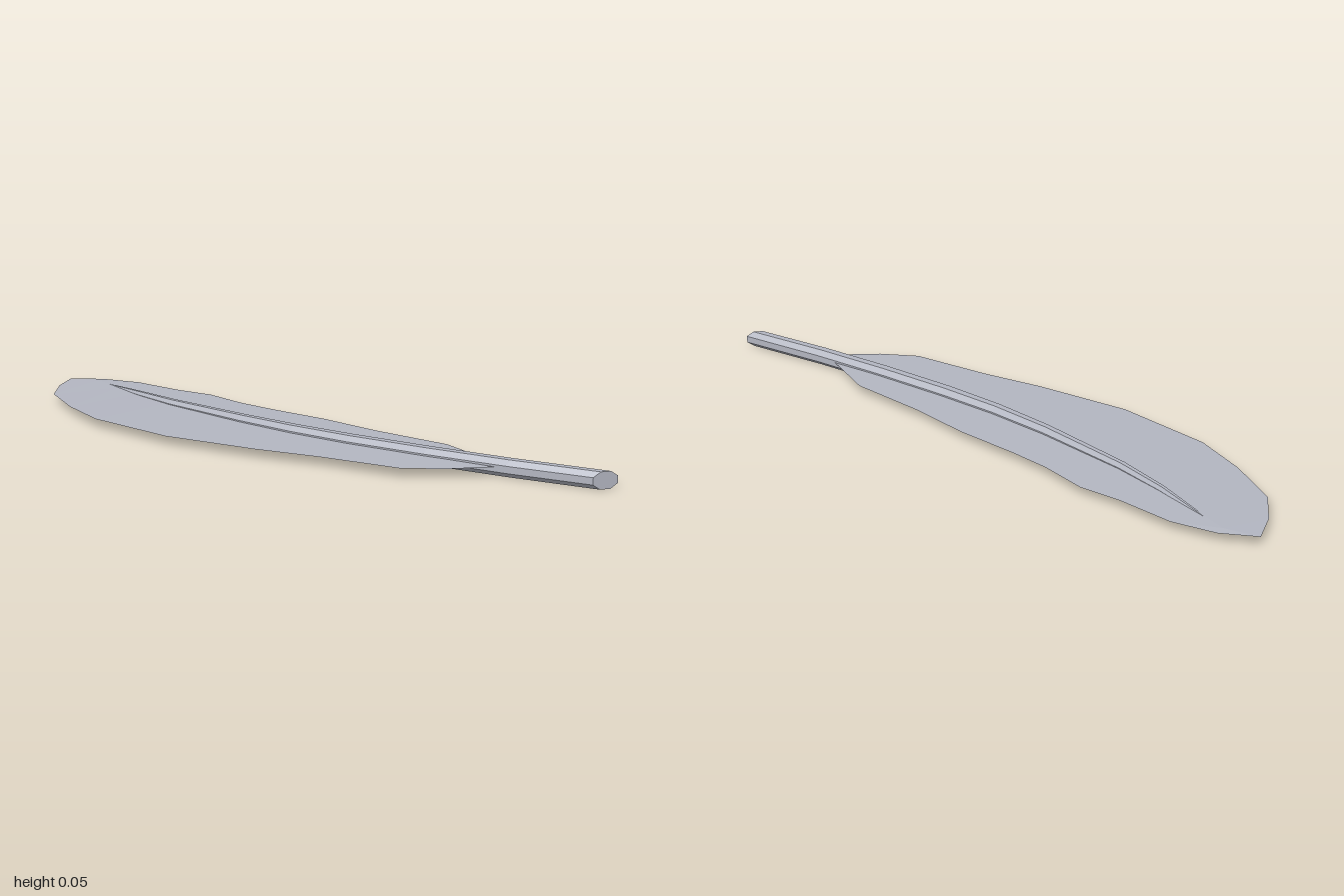
import * as THREE from 'three';

const MID_Y = 0.025;

// shaft stations from cut end to tip: x, z, half width, half height
const SPINE = [
  [0.97, 0.006, 0.027, 0.025], [0.7, 0.025, 0.027, 0.025], [0.45, 0.031, 0.028, 0.025],
  [0.2, 0.028, 0.028, 0.025], [0, 0.015, 0.025, 0.025], [-0.2, -0.012, 0.021, 0.024],
  [-0.5, -0.072, 0.016, 0.02], [-0.66, -0.12, 0.012, 0.016], [-0.83, -0.184, 0.005, 0.006],
];

// vane outlines from base to tip: x, z
const BACK = [[0.63, 0], [0.45, -0.09], [0.2, -0.12], [0, -0.16], [-0.2, -0.18], [-0.33, -0.2],
  [-0.47, -0.24], [-0.6, -0.24], [-0.77, -0.26], [-0.9, -0.24], [-1, -0.19]];
const FRONT = [[0.67, 0.05], [0.56, 0.14], [0.45, 0.2], [0.2, 0.215], [0, 0.24], [-0.3, 0.255],
  [-0.6, 0.2], [-0.76, 0.12], [-0.91, 0.015], [-0.97, -0.09], [-1, -0.19]];
const MID_X = [0.64, 0.5, 0.33, 0.1, -0.1, -0.3, -0.52, -0.68, -0.78, -0.9, -1];

// z of the shaft centreline at x
function spineZ(x) {
  let i = 0;
  while (i < SPINE.length - 2 && x < SPINE[i + 1][0]) i++;
  const [x0, z0] = SPINE[i], [x1, z1] = SPINE[i + 1];
  return z0 + (z1 - z0) * (x - x0) / (x1 - x0);
}

// collects quads into a faceted geometry
function faceted(build) {
  const pos = [];
  build((a, b, c, d) => { for (const p of [a, b, c, a, c, d]) pos.push(...p); },
    (a, b, c) => { for (const p of [a, b, c]) pos.push(...p); });
  const g = new THREE.BufferGeometry();
  g.setAttribute('position', new THREE.Float32BufferAttribute(pos, 3));
  g.computeVertexNormals();
  return g;
}

function shaftGeometry() {
  const N = 8, k = 1 / Math.cos(Math.PI / N);
  const rings = SPINE.map(([x, z, w, h], i) => {
    // cross direction is square to the curve; the first ring is cut obliquely
    const p = SPINE[Math.max(i - 1, 0)], q = SPINE[Math.min(i + 1, SPINE.length - 1)];
    const slope = i === 0 ? -0.93 : -(q[1] - p[1]) / (q[0] - p[0]);
    const s = i === 0 ? 1 : 1 / Math.hypot(1, slope);
    return Array.from({ length: N }, (_, j) => {
      const t = (j + 0.5) / N * Math.PI * 2;
      const dz = w * k * Math.cos(t) * s;
      return [x + dz * slope, MID_Y + h * k * Math.sin(t), z + dz];
    });
  });
  return faceted((quad, tri) => {
    for (let i = 0; i < rings.length - 1; i++) {
      for (let j = 0; j < N; j++) {
        const n = (j + 1) % N;
        quad(rings[i][j], rings[i][n], rings[i + 1][n], rings[i + 1][j]);
      }
    }
    // end caps
    const a = rings[0], b = rings[rings.length - 1];
    for (let j = 1; j < N - 1; j++) {
      tri(a[0], a[j + 1], a[j]);
      tri(b[0], b[j], b[j + 1]);
    }
  });
}

// thin lens: thickest along the shaft, closing to a sharp rim
function vaneGeometry() {
  const last = BACK.length - 1, RIM_Y = 0.029;
  const rim = ([x, z]) => [x, RIM_Y, z];
  const mid = (i, y) => (i === last ? rim(BACK[last]) : [MID_X[i], y, spineZ(MID_X[i])]);
  return faceted((quad) => {
    for (let i = 0; i < last; i++) {
      const b0 = rim(BACK[i]), b1 = rim(BACK[i + 1]);
      const f0 = rim(FRONT[i]), f1 = rim(FRONT[i + 1]);
      const t0 = mid(i, 0.031), t1 = mid(i + 1, 0.031);
      const u0 = mid(i, 0.02), u1 = mid(i + 1, 0.02);
      quad(b0, b1, t1, t0);
      quad(f0, t0, t1, f1);
      quad(b0, u0, u1, b1);
      quad(f0, f1, u1, u0);
    }
  });
}

export function createModel() {
  const grey = new THREE.MeshStandardMaterial({ color: 0xb3b6c1 });
  grey.name = 'featherGrey';
  const group = new THREE.Group();
  group.name = 'feather';
  for (const [name, geometry] of [['shaft', shaftGeometry()], ['vane', vaneGeometry()]]) {
    const mesh = new THREE.Mesh(geometry, grey);
    mesh.name = name;
    group.add(mesh);
  }
  return group;
}
